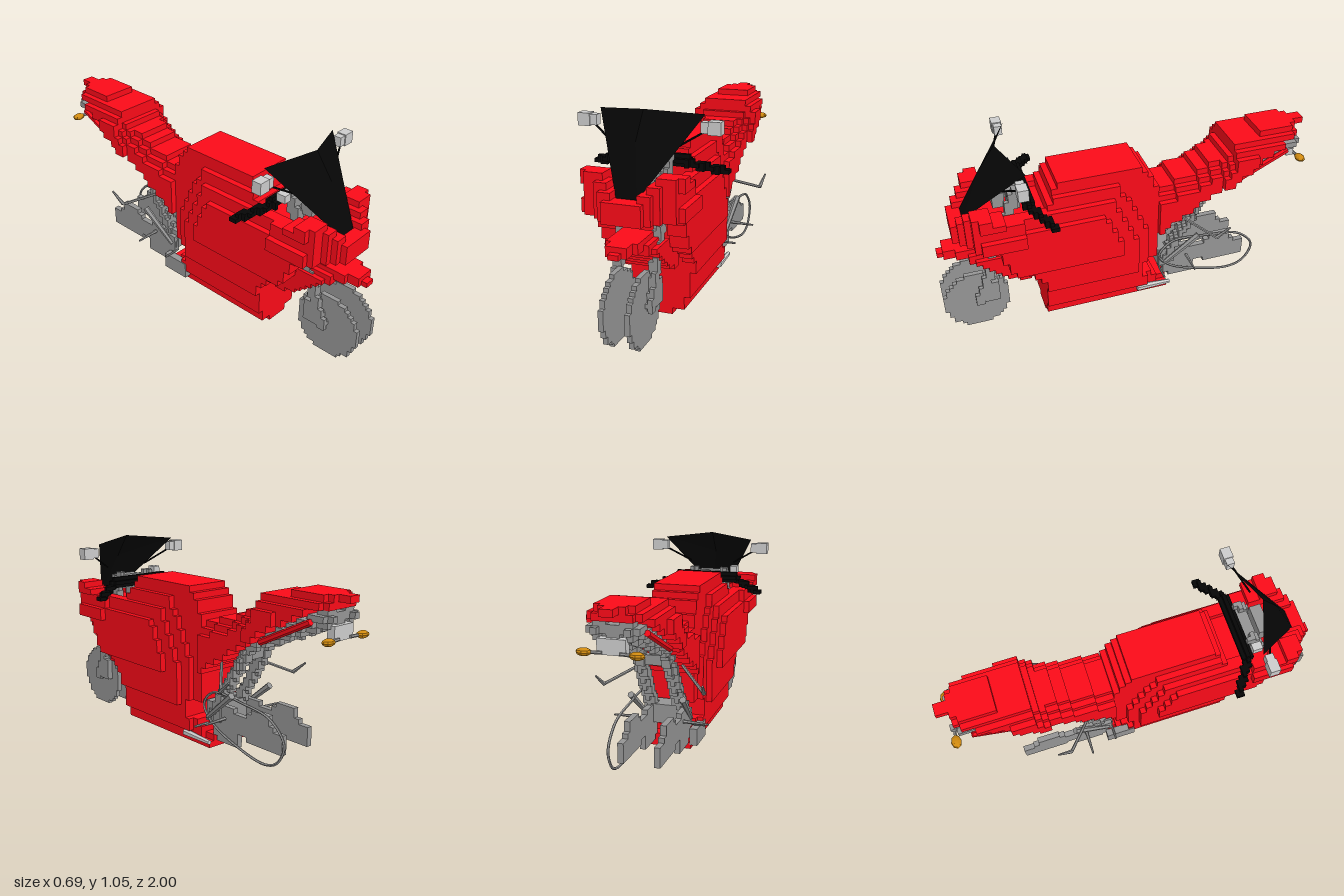
import * as THREE from 'three';

const RED = 0xfa0a18, BLACK = 0x060606, GREY = 0xcccccc, STEEL = 0x949494, AMBER = 0xd08a10;
const mat = (color, side = THREE.FrontSide) => new THREE.MeshStandardMaterial({ color, side, flatShading: true });
const V = (x, y, z) => new THREE.Vector3(x, y, z);

export function createModel() {
  const model = new THREE.Group();
  const add = (name, geo, color, side) => {
    const m = new THREE.Mesh(geo, mat(color, side));
    m.name = name;
    model.add(m);
    return m;
  };

  // Stepped solid: the outer faces of every grid cell whose centre passes the test
  function voxels(name, color, cell, min, max, test) {
    const lo = min.map((v, i) => Math.floor(v / cell[i] + 1e-6));
    const hi = max.map((v, i) => Math.ceil(v / cell[i] - 1e-6));
    const filled = c => c.every((v, i) => v >= lo[i] && v < hi[i]) && test(...c.map((v, i) => (v + 0.5) * cell[i]));
    const pos = [];
    for (let i = lo[0]; i < hi[0]; i++) for (let j = lo[1]; j < hi[1]; j++) for (let k = lo[2]; k < hi[2]; k++) {
      const c = [i, j, k];
      if (!filled(c)) continue;
      for (let d = 0; d < 3; d++) for (const s of [-1, 1]) {
        const next = [...c];
        next[d] += s;
        if (filled(next)) continue;
        const quad = [[0, 0], [1, 0], [1, 1], [0, 1]].map(([a, b]) => {
          const p = [...c];
          p[d] += s > 0 ? 1 : 0;
          p[(d + 1) % 3] += a;
          p[(d + 2) % 3] += b;
          return p.map((v, n) => v * cell[n]);
        });
        if (s < 0) quad.reverse();
        for (const n of [0, 1, 2, 0, 2, 3]) pos.push(...quad[n]);
      }
    }
    const geo = new THREE.BufferGeometry();
    geo.setAttribute('position', new THREE.Float32BufferAttribute(pos, 3));
    geo.computeVertexNormals();
    add(name, geo, color);
  }

  // Stepped bar between two points
  function voxelBar(name, color, a, b, r, size = 0.022) {
    const line = new THREE.Line3(a, b), q = V(0, 0, 0), p = V(0, 0, 0);
    const min = a.clone().min(b).subScalar(r), max = a.clone().max(b).addScalar(r);
    voxels(name, color, [size, size, size], min.toArray(), max.toArray(), (x, y, z) => {
      line.closestPointToPoint(p.set(x, y, z), true, q);
      return p.distanceTo(q) < r;
    });
  }

  function rod(name, color, a, b, r, r2 = r) {
    const m = add(name, new THREE.CylinderGeometry(r2, r, a.distanceTo(b), 6), color);
    m.position.copy(a).lerp(b, 0.5);
    m.quaternion.setFromUnitVectors(V(0, 1, 0), b.clone().sub(a).normalize());
  }

  function box(name, color, x, y, z, w, h, d) {
    add(name, new THREE.BoxGeometry(w, h, d), color).position.set(x, y, z);
  }

  // Linear lookup in a list of [key, value]
  function lookup(table, t) {
    if (t <= table[0][0]) return table[0][1];
    for (let i = 1; i < table.length; i++) {
      const [k0, v0] = table[i - 1], [k1, v1] = table[i];
      if (t <= k1) return v0 + (v1 - v0) * (t - k0) / (k1 - k0);
    }
    return table[table.length - 1][1];
  }

  function inPolygon(poly, u, v) {
    let inside = false;
    for (let i = 0, j = poly.length - 1; i < poly.length; j = i++) {
      const [a, b] = poly[i], [c, d] = poly[j];
      if ((b > v) !== (d > v) && u < (c - a) * (v - b) / (d - b) + a) inside = !inside;
    }
    return inside;
  }

  // Fairing, tank, seat and tail: side outline [z, y] with widths by height and length
  const outline = [
    [0.91, 0.6], [0.91, 0.7], [0.84, 0.72], [0.81, 0.8], [0.74, 0.8], [0.69, 0.76], [0.6, 0.72], [0.44, 0.73],
    [0.41, 0.81], [0.37, 0.87], [-0.06, 0.87], [-0.1, 0.8], [-0.15, 0.7], [-0.22, 0.7], [-0.43, 0.77],
    [-0.56, 0.83], [-0.56, 0.9], [-0.72, 0.9], [-0.72, 0.93], [-1, 0.93], [-1, 0.9], [-0.88, 0.86],
    [-0.75, 0.8], [-0.57, 0.69], [-0.44, 0.61], [-0.28, 0.52], [-0.17, 0.43], [-0.17, 0.27], [-0.06, 0.25],
    [-0.06, 0.17], [-0.13, 0.17], [-0.15, 0.1], [-0.23, 0.1], [-0.23, 0.035], [0.38, 0.033], [0.38, 0],
    [0.47, 0], [0.47, 0.3], [0.55, 0.36], [0.66, 0.46], [0.72, 0.6]];
  const widthByY = [[0.033, 0.05], [0.034, 0.12], [0.09, 0.125], [0.1, 0.15], [0.22, 0.15], [0.23, 0.185], [0.39, 0.185],
    [0.4, 0.215], [0.61, 0.215], [0.69, 0.19], [0.76, 0.16], [0.82, 0.13], [0.87, 0.1]];
  const widthByZ = [[-0.96, 0.05], [-0.94, 0.09], [-0.91, 0.1], [-0.88, 0.145], [-0.71, 0.145], [-0.7, 0.18],
    [-0.5, 0.18], [-0.49, 0.14], [-0.17, 0.14], [-0.1, 0.15], [0, 0.18], [0.04, 0.215], [0.5, 0.215], [0.6, 0.25],
    [0.77, 0.25], [0.82, 0.18], [0.87, 0.12], [0.91, 0.08]];
  const tailDepth = (z, y) => inPolygon(outline, z, y + 0.066) ? 1 : inPolygon(outline, z, y + 0.033) ? 0.88 : 0.68;
  voxels('bodyFairing', RED, [0.031, 0.0332, 0.03125], [-0.248, 0, -1], [0.248, 0.93, 0.9], (x, y, z) => {
    if (!inPolygon(outline, z, y)) return false;
    const ax = Math.abs(x);
    if (z > 0.47 && y < 0.6 && ax < 0.12) return false;               // fork opening
    if (z > 0.43 && z < 0.74 && y > 0.7 && ax < 0.12) return false;   // cockpit
    if (z > 0.7 && y > 0.7 && ax < 0.05 + (y - 0.7) * 0.9) return false; // screen cut-out
    let w = lookup(widthByZ, z);
    if (z > 0.57 && y > 0.6) w = Math.min(w, y > 0.67 && y < 0.73 ? 0.22 : 0.25);
    else if (z < -0.17) w *= tailDepth(z, y);
    else {
      const taper = 0.08 + 0.5 * Math.max(0, y - 0.45) - z;           // flanks close in towards the seat
      w = Math.min(w, lookup(widthByY, y), Math.max(0.13, 0.215 - Math.max(0, taper) * 0.42));
    }
    return ax < w;
  });

  // Front mudguard
  const guard = [[0.98, 0.47], [0.98, 0.5], [0.92, 0.53], [0.73, 0.53], [0.68, 0.47], [0.55, 0.41], [0.55, 0.31],
    [0.61, 0.31], [0.71, 0.38], [0.75, 0.43], [0.85, 0.47]];
  voxels('frontMudguard', RED, [0.025, 0.025, 0.03], [-0.125, 0.3, 0.54], [0.125, 0.55, 0.99], (x, y, z) =>
    inPolygon(guard, z, y) && Math.abs(x) < Math.min(0.12, 0.02 + (0.99 - z) * 0.5, 0.06 + (0.53 - y) * 0.9));

  // Windscreen: five-cornered shell folded about a forward crease
  const screen = new THREE.BufferGeometry();
  screen.setAttribute('position', new THREE.Float32BufferAttribute([
    -0.05, 0.7, 0.84, 0.05, 0.7, 0.84, 0.255, 1.03, 0.545, 0, 1.055, 0.64, -0.255, 1.03, 0.545, 0, 0.93, 0.73], 3));
  screen.setIndex([0, 1, 5, 1, 2, 5, 2, 3, 5, 3, 4, 5, 4, 0, 5]);
  screen.computeVertexNormals();
  add('windscreen', screen, BLACK, THREE.DoubleSide);

  // Cockpit: clamp, instruments and handlebar
  box('topClamp', STEEL, 0, 0.8, 0.58, 0.2, 0.03, 0.07);
  box('instrumentPanel', STEEL, 0, 0.79, 0.66, 0.15, 0.08, 0.06);
  box('steeringHead', STEEL, 0, 0.7, 0.58, 0.07, 0.18, 0.06);
  box('fluidReservoir', GREY, -0.15, 0.85, 0.58, 0.04, 0.04, 0.05);
  voxelBar('handlebar', BLACK, V(-0.18, 0.81, 0.53), V(0.18, 0.81, 0.53), 0.022, 0.02);

  for (const s of [-1, 1]) {
    // Steering and mirrors
    voxelBar('handlebarGrip', BLACK, V(s * 0.17, 0.8, 0.54), V(s * 0.315, 0.75, 0.44), 0.02, 0.02);
    rod('mirrorArm', BLACK, V(s * 0.13, 0.88, 0.65), V(s * 0.275, 0.967, 0.585), 0.005);
    box('mirror', GREY, s * 0.315, 0.98, 0.578, 0.06, 0.06, 0.05);
    box('mirrorInner', GREY, s * 0.268, 0.98, 0.578, 0.034, 0.05, 0.04);

    // Fork and wheel side
    voxelBar('frontFork', STEEL, V(s * 0.095, 0.2, 0.81), V(s * 0.095, 0.84, 0.58), 0.026);
    box('brakeCaliper', STEEL, s * 0.095, 0.25, 0.75, 0.03, 0.12, 0.08);
    const x0 = s > 0 ? 0.05 : -0.075;
    voxels('frontWheelDisc', STEEL, [0.025, 0.02, 0.02], [x0, 0.01, 0.64], [x0 + 0.025, 0.37, 1],
      (x, y, z) => Math.hypot(y - 0.187, z - 0.826) < 0.172);

    // Rear frame and tail rails
    voxelBar('rearUpright', STEEL, V(s * 0.08, 0.2, -0.2), V(s * 0.07, 0.63, -0.46), 0.028);
    voxelBar('tailRail', STEEL, V(s * 0.07, 0.63, -0.45), V(s * 0.07, 0.83, -0.91), 0.04, 0.03);
    rod('tailTrim', RED, V(s * 0.13, 0.665, -0.57), V(s * 0.13, 0.81, -0.87), 0.016);

    // Swingarm plate
    const arm = [[-0.17, 0.18], [-0.17, 0.25], [-0.3, 0.27], [-0.45, 0.25], [-0.52, 0.31], [-0.58, 0.31], [-0.62, 0.25],
      [-0.7, 0.21], [-0.7, 0.12], [-0.55, 0.12], [-0.4, 0.15], [-0.38, 0.07], [-0.25, 0.07]];
    const ax = s > 0 ? 0.06 : -0.12;
    voxels('swingarm', STEEL, [0.03, 0.025, 0.03], [ax, 0.05, -0.72], [ax + 0.03, 0.33, -0.15],
      (x, y, z) => inPolygon(arm, z, y));

    // Foot controls
    rod('footPeg', STEEL, V(s * 0.12, 0.225, -0.33), V(s * 0.25, 0.222, -0.33), 0.01, 0.005);
    rod('pedal', STEEL, V(s * 0.1, 0.157, -0.18), V(s * 0.19, 0.157, -0.18), 0.006);
    rod('heelPlate', STEEL, V(s * 0.12, 0.2, -0.2), V(s * 0.135, 0.36, -0.39), 0.012, 0.018);
    rod('passengerBracket', STEEL, V(s * 0.1, 0.5, -0.28), V(s * 0.255, 0.42, -0.44), 0.008);
    rod('passengerPeg', STEEL, V(s * 0.255, 0.42, -0.44), V(s * 0.268, 0.48, -0.51), 0.011, 0.005);

    // Indicators
    rod('indicatorStem', STEEL, V(s * 0.04, 0.735, -0.955), V(s * 0.1, 0.735, -0.96), 0.008);
    const lamp = add('indicator', new THREE.SphereGeometry(1, 8, 6), AMBER);
    lamp.scale.set(0.036, 0.018, 0.026);
    lamp.position.set(s * 0.118, 0.735, -0.962);
  }

  // Rear light bracket, swingarm pivot, cross members and belly bar
  box('rearLight', GREY, 0, 0.76, -0.93, 0.13, 0.07, 0.04);
  box('rearLightStay', STEEL, 0, 0.81, -0.9, 0.06, 0.08, 0.06);
  box('swingarmPivot', STEEL, 0, 0.23, -0.22, 0.2, 0.1, 0.1);
  box('frameBridge', STEEL, 0, 0.56, -0.4, 0.14, 0.05, 0.06);
  box('tailUndertray', STEEL, 0, 0.77, -0.75, 0.1, 0.03, 0.24);
  box('bellyBar', STEEL, 0, 0.028, 0.1, 0.06, 0.015, 0.52);

  // Drive chain on one side
  const loop = [[-0.17, 0.26], [-0.24, 0.34], [-0.45, 0.335], [-0.64, 0.3], [-0.73, 0.2], [-0.69, 0.1], [-0.61, 0.067],
    [-0.42, 0.1], [-0.23, 0.18]].map(([z, y]) => V(0.12, y, z));
  add('driveChain', new THREE.TubeGeometry(new THREE.CatmullRomCurve3(loop, true), 60, 0.007, 5, true), STEEL);

  // Exhaust tip and opposite silencer
  rod('exhaustTip', GREY, V(0.135, 0.075, -0.04), V(0.135, 0.07, -0.23), 0.02, 0.012);
  box('silencer', STEEL, -0.14, 0.1, -0.14, 0.04, 0.09, 0.16);

  return model;
}
